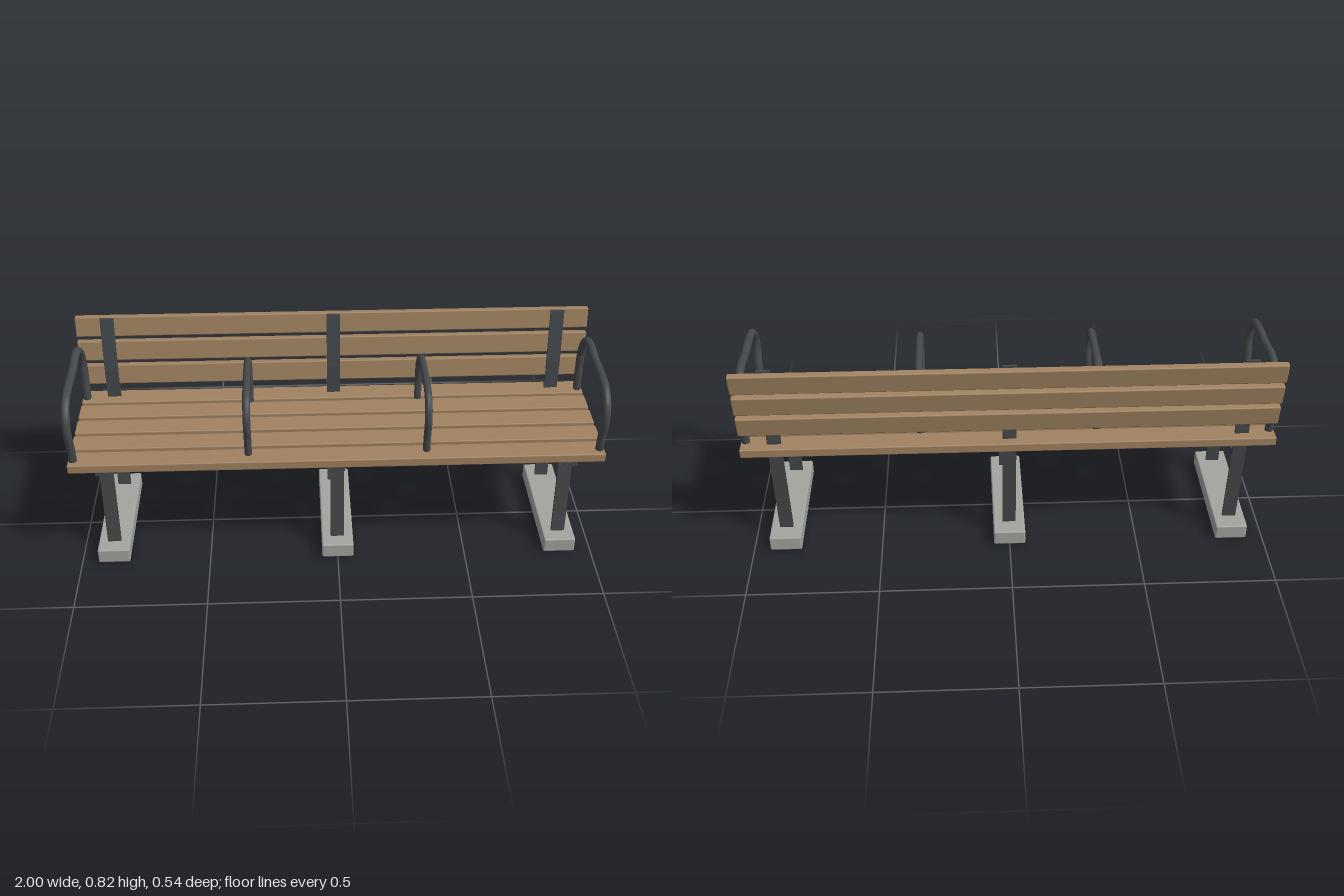
import * as THREE from 'three';
import { RoundedBoxGeometry } from 'three/addons/geometries/RoundedBoxGeometry.js';

const wood = new THREE.MeshStandardMaterial({ color: 0xa08260 });
const metal = new THREE.MeshStandardMaterial({ color: 0x45484b });
const concrete = new THREE.MeshStandardMaterial({ color: 0xa3a39f });

export function createModel() {
  const bench = new THREE.Group();
  bench.name = 'bench';

  const add = (name, geometry, material, x, y, z, tilt = 0) => {
    const mesh = new THREE.Mesh(geometry, material);
    mesh.name = name;
    mesh.position.set(x, y, z);
    mesh.rotation.x = tilt;
    bench.add(mesh);
  };

  // Flat steel bar following [z, y] points, extruded along x
  const flatBar = (points, thickness, width) => {
    const h = thickness / 2;
    const front = points.map(([z, y]) => new THREE.Vector2(-z - h, y));
    const back = points.map(([z, y]) => new THREE.Vector2(-z + h, y)).reverse();
    const geometry = new THREE.ExtrudeGeometry(new THREE.Shape([...front, ...back]), {
      depth: width, bevelEnabled: false,
    });
    return geometry.translate(0, 0, -width / 2).rotateY(Math.PI / 2);
  };

  // Seat: five planks with gaps
  const seatPlank = new RoundedBoxGeometry(2, 0.036, 0.088, 2, 0.005);
  for (let i = 0; i < 5; i++) add('seatSlat', seatPlank, wood, 0, 0.465, 0.221 - i * 0.1055);

  // Backrest: three reclined planks
  const backPlank = new RoundedBoxGeometry(2, 0.082, 0.027, 2, 0.005);
  for (let i = 0; i < 3; i++) {
    add('backSlat', backPlank, wood, 0, 0.578 + i * 0.1, -0.222 - i * 0.0142, -0.14);
  }

  // Three supports: concrete foot, front leg, back post and crossbar
  const foot = new RoundedBoxGeometry(0.123, 0.061, 0.502, 2, 0.006);
  const frontLeg = flatBar([[0.19, 0.05], [0.169, 0.44]], 0.011, 0.052);
  const backPost = flatBar(
    [[-0.178, 0.05], [-0.204, 0.43], [-0.205, 0.6], [-0.231, 0.82]], 0.011, 0.052);
  const crossbar = new THREE.BoxGeometry(0.052, 0.027, 0.464);
  for (const x of [-0.875, 0, 0.875]) {
    add('foot', foot, concrete, x, 0.0305, 0);
    add('frontLeg', frontLeg, metal, x, 0, 0);
    add('backPost', backPost, metal, x, 0, 0);
    add('crossbar', crossbar, metal, x, 0.4365, 0.02);
  }

  // Armrests: bent tubes, the two inner ones smaller
  const armrest = (points, radius) => new THREE.TubeGeometry(
    new THREE.CatmullRomCurve3(points.map(([z, y]) => new THREE.Vector3(0, y, z))),
    64, radius, 12);
  const outerArm = armrest([
    [0.229, 0.475], [0.238, 0.55], [0.253, 0.62], [0.242, 0.68], [0.2, 0.722], [0.13, 0.737],
    [0.01, 0.738], [-0.095, 0.748], [-0.155, 0.722], [-0.192, 0.66], [-0.198, 0.59], [-0.189, 0.475],
  ], 0.016);
  const innerArm = armrest([
    [0.211, 0.475], [0.217, 0.55], [0.229, 0.62], [0.217, 0.67], [0.18, 0.708], [0.11, 0.719],
    [0.01, 0.718], [-0.06, 0.713], [-0.11, 0.69], [-0.142, 0.645], [-0.152, 0.59], [-0.148, 0.475],
  ], 0.014);
  for (const side of [-1, 1]) {
    add('outerArmrest', outerArm, metal, side * 0.981, 0, 0);
    add('innerArmrest', innerArm, metal, side * 0.333, 0, 0);
  }

  return bench;
}
